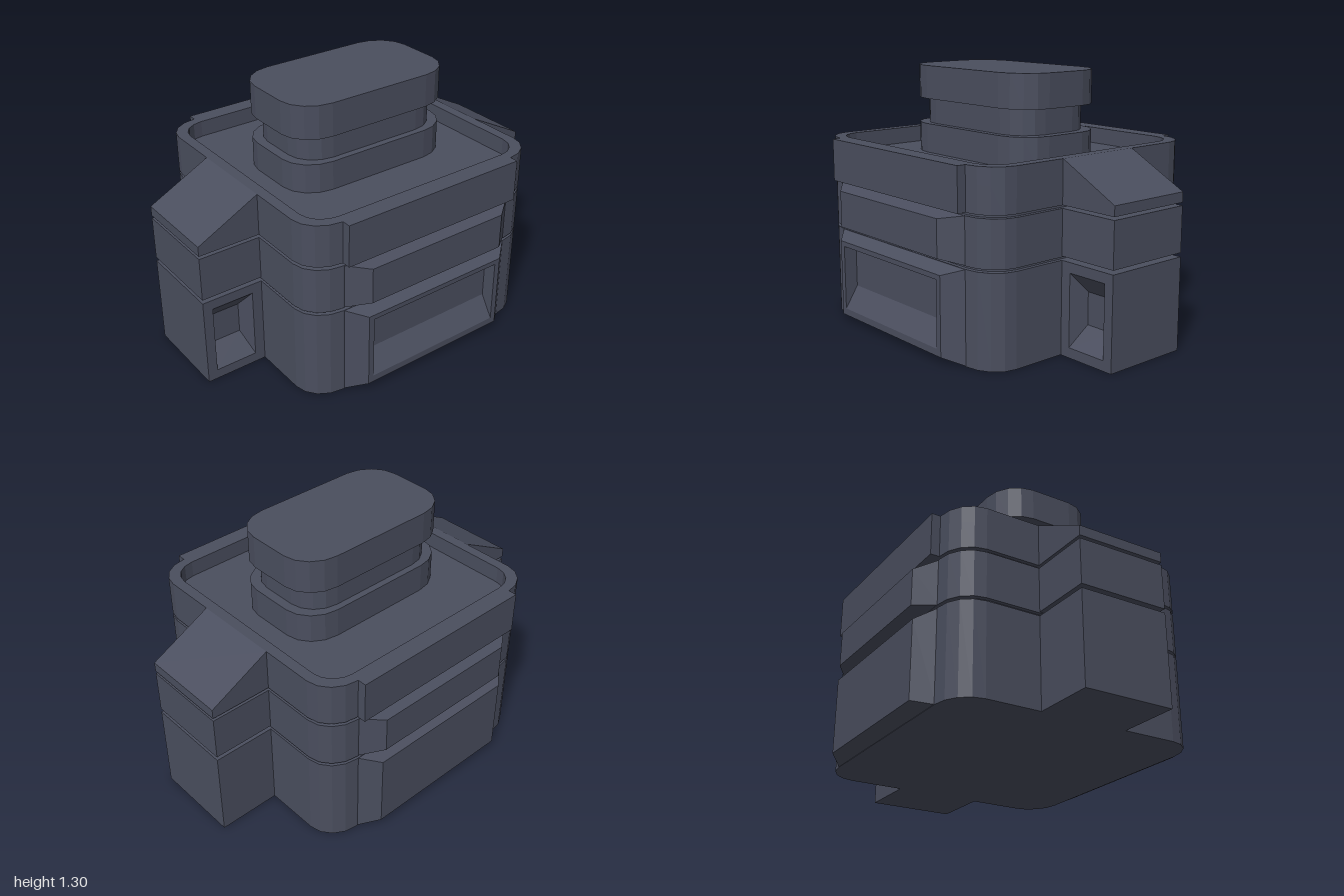
import * as THREE from 'three';

const slate = new THREE.MeshStandardMaterial({ color: 0x4a4e5e });
slate.name = 'slate';

// Rounded rectangle with half sizes w, d and corner radii rx, rz
function roundedPoints(w, d, rx, rz, steps = 4) {
  const points = [];
  for (let corner = 0; corner < 4; corner++) {
    const sx = corner === 0 || corner === 3 ? 1 : -1;
    const sz = corner < 2 ? 1 : -1;
    for (let i = 0; i <= steps; i++) {
      const a = (corner + i / steps) * Math.PI / 2;
      points.push(new THREE.Vector2(
        sx * (w - rx) + rx * Math.cos(a),
        sz * (d - rz) + rz * Math.sin(a)));
    }
  }
  return points;
}

// Upright slab from y0 to y1, with an optional opening
function slab(outline, y0, y1, hole) {
  const shape = new THREE.Shape(outline);
  if (hole) shape.holes.push(new THREE.Path(hole));
  const geo = new THREE.ExtrudeGeometry(shape, { depth: y1 - y0, bevelEnabled: false });
  return geo.rotateX(-Math.PI / 2).translate(0, y0, 0);
}

// Closed solid through rectangles [x0, x1, y0, y1, z]; a ring that steps back makes a pocket
function rectLoft(rings) {
  const loops = rings.map(([x0, x1, y0, y1, z]) =>
    [[x0, y0, z], [x1, y0, z], [x1, y1, z], [x0, y1, z]]);
  const pos = [];
  const quad = (a, b, c, d) => pos.push(...a, ...b, ...c, ...a, ...c, ...d);
  for (let r = 0; r < loops.length - 1; r++) {
    for (let i = 0; i < 4; i++) {
      const j = (i + 1) % 4;
      quad(loops[r][i], loops[r][j], loops[r + 1][j], loops[r + 1][i]);
    }
  }
  quad(...loops[0].slice().reverse());
  quad(...loops[loops.length - 1]);
  const geo = new THREE.BufferGeometry();
  geo.setAttribute('position', new THREE.Float32BufferAttribute(pos, 3));
  geo.computeVertexNormals();
  return geo;
}

export function createModel() {
  const model = new THREE.Group();
  const add = (name, geo) => {
    const mesh = new THREE.Mesh(geo, slate);
    mesh.name = name;
    model.add(mesh);
    return mesh;
  };

  // Stacked body tiers around an inset core that shows in the grooves
  const body = roundedPoints(0.68, 0.66, 0.17, 0.15);
  add('grooveCore', slab(roundedPoints(0.66, 0.64, 0.17, 0.15), 0.4, 0.76));
  add('lowerTier', slab(body, 0, 0.46));
  add('middleTier', slab(body, 0.475, 0.705));
  add('upperTier', slab(body, 0.72, 0.85));
  add('topRim', slab(body, 0.85, 0.935, roundedPoints(0.625, 0.61, 0.13, 0.12)));

  // Neck and cap
  add('neckCollar', slab(roundedPoints(0.462, 0.275, 0.18, 0.165), 0.85, 1.0));
  add('neck', slab(roundedPoints(0.413, 0.24, 0.16, 0.15), 1.0, 1.13));
  add('cap', slab(roundedPoints(0.462, 0.275, 0.18, 0.165), 1.13, 1.3));

  // Raised panels on front and back; only the lower front one is hollowed
  const lowerPanel = [[-0.51, 0.51, 0, 0.46, 0.655], [-0.415, 0.415, 0.035, 0.425, 0.735]];
  const tray = [[-0.385, 0.385, 0.07, 0.4, 0.735], [-0.385, 0.385, 0.18, 0.4, 0.665]];
  const middlePanel = [[-0.51, 0.51, 0.475, 0.705, 0.655], [-0.4, 0.4, 0.5, 0.685, 0.738]];
  const upperPanel = [[-0.51, 0.51, 0.72, 0.935, 0.655], [-0.51, 0.51, 0.72, 0.935, 0.705]];
  for (const [side, turn] of [['front', 0], ['back', Math.PI]]) {
    add(side + 'LowerPanel', rectLoft(turn ? lowerPanel : [...lowerPanel, ...tray])).rotation.y = turn;
    add(side + 'MiddlePanel', rectLoft(middlePanel)).rotation.y = turn;
    add(side + 'UpperPanel', rectLoft(upperPanel)).rotation.y = turn;
  }

  // Side arms: pocketed lower block, plain middle block, sloping upper block
  for (const [side, s] of [['left', 1], ['right', -1]]) {
    const span = (a, b) => (s > 0 ? [a, b] : [-b, -a]);
    add(side + 'LowerArm', rectLoft([
      [...span(0.66, 1), 0, 0.46, -0.23],
      [...span(0.66, 1), 0, 0.46, 0.23],
      [...span(0.733, 0.95), 0.05, 0.41, 0.23],
      [...span(0.765, 0.92), 0.15, 0.31, 0.14],
    ]));
    add(side + 'MiddleArm', rectLoft([
      [...span(0.66, 1), 0.48, 0.705, -0.23],
      [...span(0.66, 1), 0.48, 0.705, 0.23],
    ]));
    const wedge = new THREE.Shape([[0.66, 0.72], [1, 0.72], [1, 0.77], [0.68, 0.935], [0.66, 0.935]]
      .map(([x, y]) => new THREE.Vector2(s * x, y)));
    add(side + 'UpperArm', new THREE.ExtrudeGeometry(wedge, { depth: 0.46, bevelEnabled: false })
      .translate(0, 0, -0.23));
  }
  return model;
}
